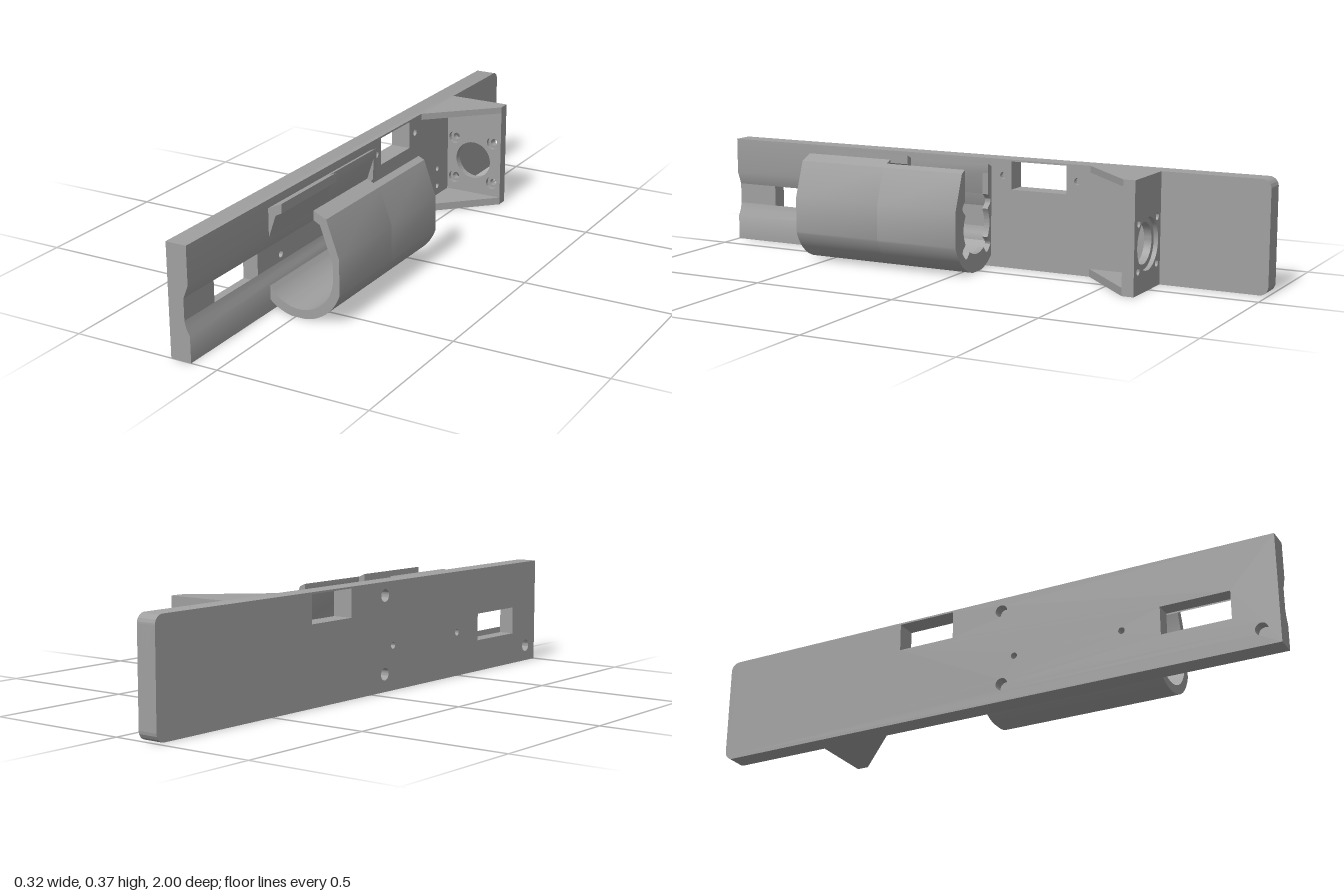
import * as THREE from 'three';
import { toCreasedNormals } from 'three/addons/utils/BufferGeometryUtils.js';

const CX = 0.013, CY = 0.15;   // axis of the cradle
const rad = (d) => d * Math.PI / 180;

// points on an arc around the cradle axis, angles in degrees
function arc(r, from, to, n = 32) {
  return Array.from({ length: n + 1 }, (_, i) => {
    const a = rad(from + (to - from) * i / n);
    return [CX + r * Math.cos(a), CY + r * Math.sin(a)];
  });
}
const poly = (pts) => new THREE.Shape(pts.map((p) => new THREE.Vector2(p[0], p[1])));

function round(shape, x, y, r) {
  shape.holes.push(new THREE.Path().absarc(x, y, r, 0, Math.PI * 2, true));
}
function windowHole(shape, x0, x1, y0, y1) {
  shape.holes.push(new THREE.Path([[x0, y0], [x0, y1], [x1, y1], [x1, y0]].map((p) => new THREE.Vector2(...p))));
}

export function createModel() {
  const model = new THREE.Group();
  const grey = new THREE.MeshStandardMaterial({ color: 0xa0a0a0 });
  grey.name = 'plain grey';

  const add = (name, geo) => {
    const mesh = new THREE.Mesh(toCreasedNormals(geo, 0.5), grey);
    mesh.name = name;
    model.add(mesh);
  };
  const extrude = (shape, depth) =>
    new THREE.ExtrudeGeometry(shape, { depth, bevelEnabled: false, curveSegments: 24 });
  const alongZ = (name, shape, z0, z1) => add(name, extrude(shape, z1 - z0).translate(0, 0, z0));
  // side shapes use (-z, y) and grow along x
  const alongX = (name, shape, x0, x1) =>
    add(name, extrude(shape, x1 - x0).rotateY(Math.PI / 2).translate(x0, 0, 0));

  // --- back plate, in three layers so that recesses stay blind
  const H = 0.365, R = 0.03, rearZ = -0.035;
  const plateShape = (frontZ) => {
    const s = new THREE.Shape();
    s.moveTo(-frontZ, 0);
    s.lineTo(1 - R, 0);
    s.absarc(1 - R, R, R, -Math.PI / 2, 0, false);
    s.absarc(1 - R, H - R, R, 0, Math.PI / 2, false);
    s.lineTo(-frontZ, H);
    s.closePath();
    windowHole(s, 0.11, 0.31, 0.265, 0.359);
    return s;
  };
  const outer = plateShape(1), middle = plateShape(1), inner = plateShape(rearZ);
  for (const s of [outer, middle]) {
    windowHole(s, -0.85, -0.62, 0.11, 0.205);
    round(s, -0.115, 0.15, 0.011);
    round(s, -0.49, 0.153, 0.011);
  }
  for (const [z, y] of [[0.07, 0.32], [0.07, 0.06], [0.94, 0.055]]) round(outer, -z, y, 0.021);
  for (const [z, y, r] of [[-0.08, 0.31, 0.012], [-0.35, 0.31, 0.012], [-0.52, 0.125, 0.01], [-0.52, 0.06, 0.01]])
    round(inner, -z, y, r);
  alongX('plateOuterLayer', outer, -0.16, -0.125);
  alongX('plateMiddleLayer', middle, -0.125, -0.107);
  alongX('plateInnerLayer', inner, -0.107, -0.09);

  // strips either side of the long shallow groove
  alongZ('grooveLowerStrip', poly([[-0.107, 0], [-0.09, 0], [-0.09, 0.0846], [-0.102, 0.108], [-0.107, 0.13]]), rearZ, 1);
  alongZ('grooveUpperStrip', poly([[-0.107, 0.2], [-0.09, 0.243], [-0.09, H], [-0.107, H]]), rearZ, 1);

  // --- cradle: hooked lips in front, plain lips behind
  const cradle = (name, lip, z0, z1) => {
    const wall = [
      ...lip.right,
      [0.135, 0.2], ...arc(0.122, 0, -147.6, 40),
      ...arc(0.152, -138, -18, 40).map(([x, y]) => [x, Math.max(0, y)]),
      [0.157, 0.22],
    ];
    alongZ(name + 'Wall', poly(wall), z0, z1);
    alongZ(name + 'LeftLip', poly([[-0.1, 0.243], [-0.09, 0.243], ...lip.left, [-0.09, 0.338], [-0.1, 0.338]]), z0, z1);
  };
  cradle('frontCradle', {
    right: [[0.114, 0.34], [0.07, 0.36], [0.07, 0.33], [0.092, 0.318]],
    left: [[-0.064, 0.318], [-0.042, 0.33], [-0.042, 0.36]],
  }, 0.26, 0.58);
  cradle('rearCradle', {
    right: [[0.114, 0.34], [0.093, 0.35], [0.093, 0.318]],
    left: [[-0.065, 0.318], [-0.065, 0.35]],
  }, rearZ, 0.26);

  // thin end wall with a round opening notched at four bolt positions
  const opening = [];
  for (let i = 0; i <= 140; i++) {
    const deg = 50.5 - 281 * i / 140, d = 0.106, rb = 0.022;
    const off = rad((((deg + 720) % 90) - 45));
    const k = rb * rb - (d * Math.sin(off)) ** 2;
    const bolt = k > 0 ? d * Math.cos(off) + Math.sqrt(k) : 0;
    const upward = Math.abs(Math.sin(rad(deg)));
    const r = Math.min(0.125, Math.max(0.09, upward >= 0 ? bolt : 0));
    opening.push([CX + r * Math.cos(rad(deg)), CY + r * Math.sin(rad(deg))]);
  }
  const rim = arc(0.13, -180, 0, 48).map(([x, y]) => [Math.max(-0.1, x), y]);
  alongZ('cradleEndWall', poly([
    ...opening, [-0.065, 0.32], [-0.1, 0.225], ...rim, [0.143, 0.2], [0.097, 0.32], [0.093, 0.32],
  ]), rearZ, -0.015);

  // --- bracket: cross wall with bolt holes, and two gussets
  const wallLayer = (name, bore, boltR, z0, z1) => {
    const s = poly([[-0.09, 0], [0.121, 0], [0.121, H], [-0.09, H]]);
    round(s, CX, CY, bore);
    for (const sx of [-1, 1]) for (const sy of [-1, 1]) round(s, CX + sx * 0.075, CY + sy * 0.075, boltR);
    alongZ(name, s, z0, z1);
  };
  wallLayer('bracketFrontLayer', 0.067, 0.022, -0.615, -0.6);
  wallLayer('bracketMiddleLayer', 0.067, 0.012, -0.625, -0.615);
  wallLayer('bracketRearLayer', 0.085, 0.012, -0.64, -0.625);
  for (const [name, y0, y1] of [['lowerGusset', 0, 0.026], ['upperGusset', 0.343, H]]) {
    const s = poly([[-0.09, 0.395], [0.121, 0.6], [-0.09, 0.6]]);
    add(name, extrude(s, y1 - y0).rotateX(-Math.PI / 2).translate(0, y0, 0));
  }
  return model;
}
